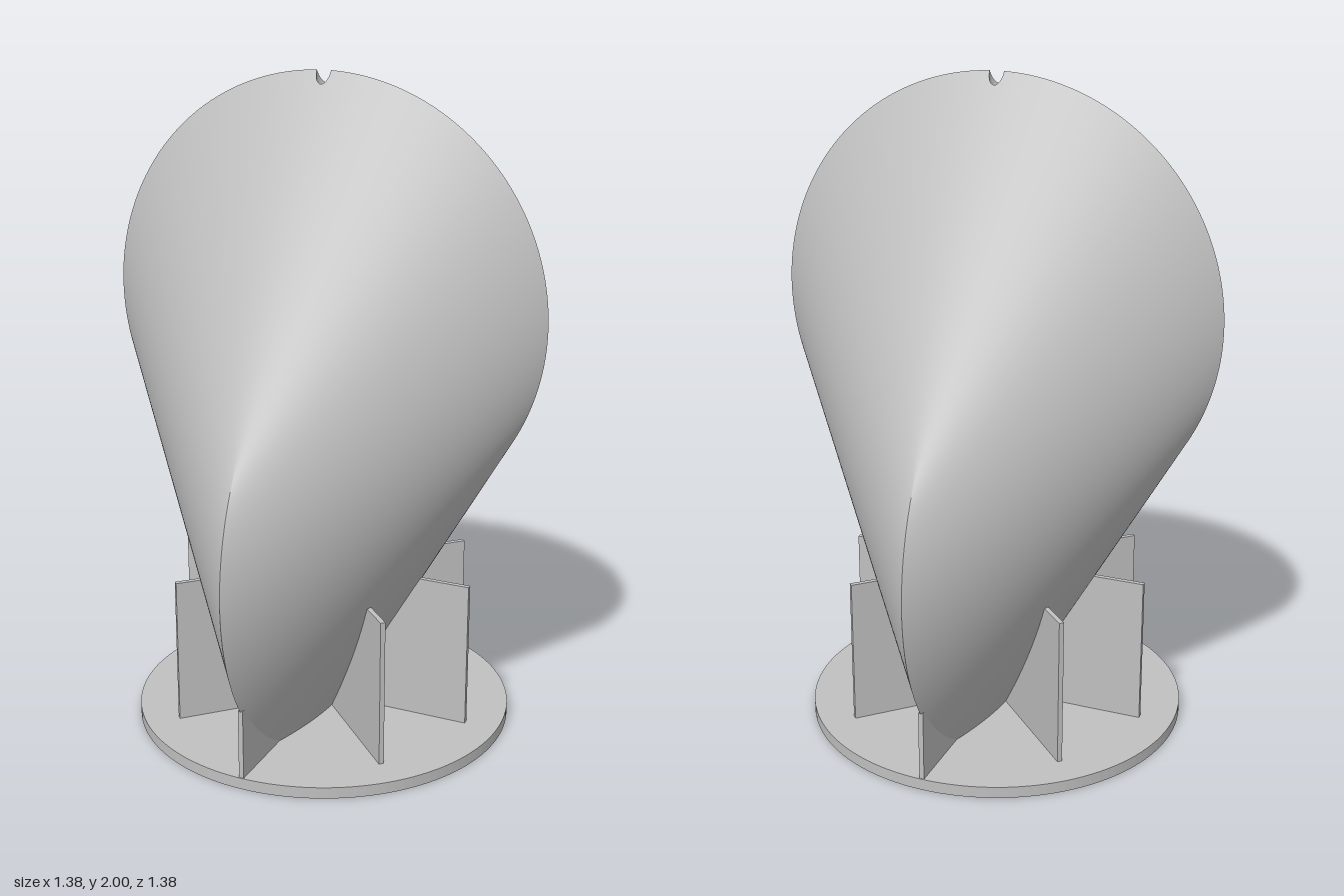
import * as THREE from 'three';

const R = 0.69;          // radius of the two generating circles
const MID = 2 - 1.5 * R; // height of the solid's middle
const HOLE = 0.022;      // radius of the small hole in the top
const HOLE_FLOOR = 1.93;
const FLOOR = 0.003;     // level where the solid is cut flat
const T_MAX = (2 * Math.PI) / 3;
const T_HOLE = Math.asin(HOLE / R);

// One straight line of the surface, from the upright circle to the crosswise one
function ruling(t, side) {
  const c = Math.cos(t), k = Math.sqrt(Math.max(0, 1 + 2 * c));
  const a = new THREE.Vector3(R * Math.sin(t), MID + R * (0.5 + c), 0);
  const b = new THREE.Vector3(0, MID + R * (-0.5 + c / (1 + c)), side * R * k / (1 + c));
  const normal = new THREE.Vector3(Math.sin(t), c, side * k).normalize();
  const start = a.clone(), end = b.clone();
  // start outside the top hole
  if (Math.abs(t) < T_HOLE) {
    const x2 = a.x * a.x, sum = x2 + b.z * b.z;
    start.lerpVectors(a, b, (x2 + Math.sqrt(x2 * x2 - sum * (x2 - HOLE * HOLE))) / sum);
  }
  // stop at the flat cut
  const cut = b.y < FLOOR;
  if (cut) end.lerpVectors(a, b, (a.y - FLOOR) / (a.y - b.y));
  return { start, end, normal, cut };
}

// Strip of quads between two rows of points
function strip(rows, flip) {
  const pos = [], nor = [], idx = [];
  rows.forEach(({ start, end, normal }, i) => {
    pos.push(...start.toArray(), ...end.toArray());
    nor.push(...normal.toArray(), ...normal.toArray());
    if (i === 0) return;
    const p = 2 * i - 2;
    if (flip) idx.push(p, p + 2, p + 1, p + 2, p + 3, p + 1);
    else idx.push(p, p + 1, p + 2, p + 2, p + 1, p + 3);
  });
  const g = new THREE.BufferGeometry();
  g.setAttribute('position', new THREE.Float32BufferAttribute(pos, 3));
  g.setAttribute('normal', new THREE.Float32BufferAttribute(nor, 3));
  g.setIndex(idx);
  return g;
}

export function createModel() {
  const group = new THREE.Group();
  const grey = new THREE.MeshStandardMaterial({ color: 0xc0c0c0, side: THREE.DoubleSide });
  grey.name = 'light grey';
  const add = (name, geometry) => {
    const mesh = new THREE.Mesh(geometry, grey);
    mesh.name = name;
    group.add(mesh);
    return mesh;
  };

  // Samples: denser towards the ends and across the top hole
  const ts = [];
  for (let i = 0; i <= 240; i++) ts.push(T_MAX * Math.sin((i / 240 - 0.5) * Math.PI));
  const holeTs = [];
  for (let i = 0; i <= 24; i++) holeTs.push(T_HOLE * Math.sin((i / 24 - 0.5) * Math.PI));
  const all = ts.filter((t) => Math.abs(t) > T_HOLE).concat(holeTs).sort((p, q) => p - q);

  // Twisted solid and the wall of its top hole, front and back halves
  for (const side of [1, -1]) {
    const half = side > 0 ? 'Front' : 'Back';
    add('body' + half, strip(all.map((t) => ruling(t, side)), side < 0));
    const wall = holeTs.map((t) => {
      const { start } = ruling(t, side);
      return {
        start,
        end: new THREE.Vector3(start.x, HOLE_FLOOR, start.z),
        normal: new THREE.Vector3(-start.x, 0, -start.z).normalize(),
      };
    });
    add('holeWall' + half, strip(wall, side > 0));
  }
  const holeFloor = add('holeFloor', new THREE.CircleGeometry(HOLE, 24).rotateX(-Math.PI / 2));
  holeFloor.position.y = HOLE_FLOOR;

  // Slim lens where the solid meets the ground
  const quarter = [];
  for (let i = 0; i <= 400; i++) {
    const r = ruling(T_MAX * Math.sin((i / 400) * Math.PI / 2), 1);
    if (r.cut) quarter.push(new THREE.Vector2(r.end.x, r.end.z));
  }
  const right = [...quarter, ...quarter.slice(0, -1).reverse().map((p) => new THREE.Vector2(p.x, -p.y))];
  const lens = [...right, ...right.map((p) => new THREE.Vector2(-p.x, -p.y))];
  const cap = add('bodyUnderside', new THREE.ShapeGeometry(new THREE.Shape(lens)).rotateX(Math.PI / 2));
  cap.position.y = FLOOR;

  // Round base plate with the lens cut out
  const plate = new THREE.Shape().absarc(0, 0, 0.583, 0, Math.PI * 2, false);
  plate.holes.push(new THREE.Path(lens));
  add('basePlate', new THREE.ExtrudeGeometry(plate, { depth: 0.035, bevelEnabled: false, curveSegments: 64 })
    .rotateX(-Math.PI / 2));

  // Eight supporting fins: low long ones front and back, tall ones elsewhere
  for (let i = 0; i < 8; i++) {
    const low = i % 4 === 2;
    const length = low ? 0.58 : 0.48, height = low ? 0.25 : 0.49, foot = 0.02;
    const fin = new THREE.BoxGeometry(length, height - foot, 0.015);
    fin.translate(length / 2, (height + foot) / 2, 0);
    add('fin' + (i + 1), fin).rotation.y = (i * Math.PI) / 4;
  }
  return group;
}
